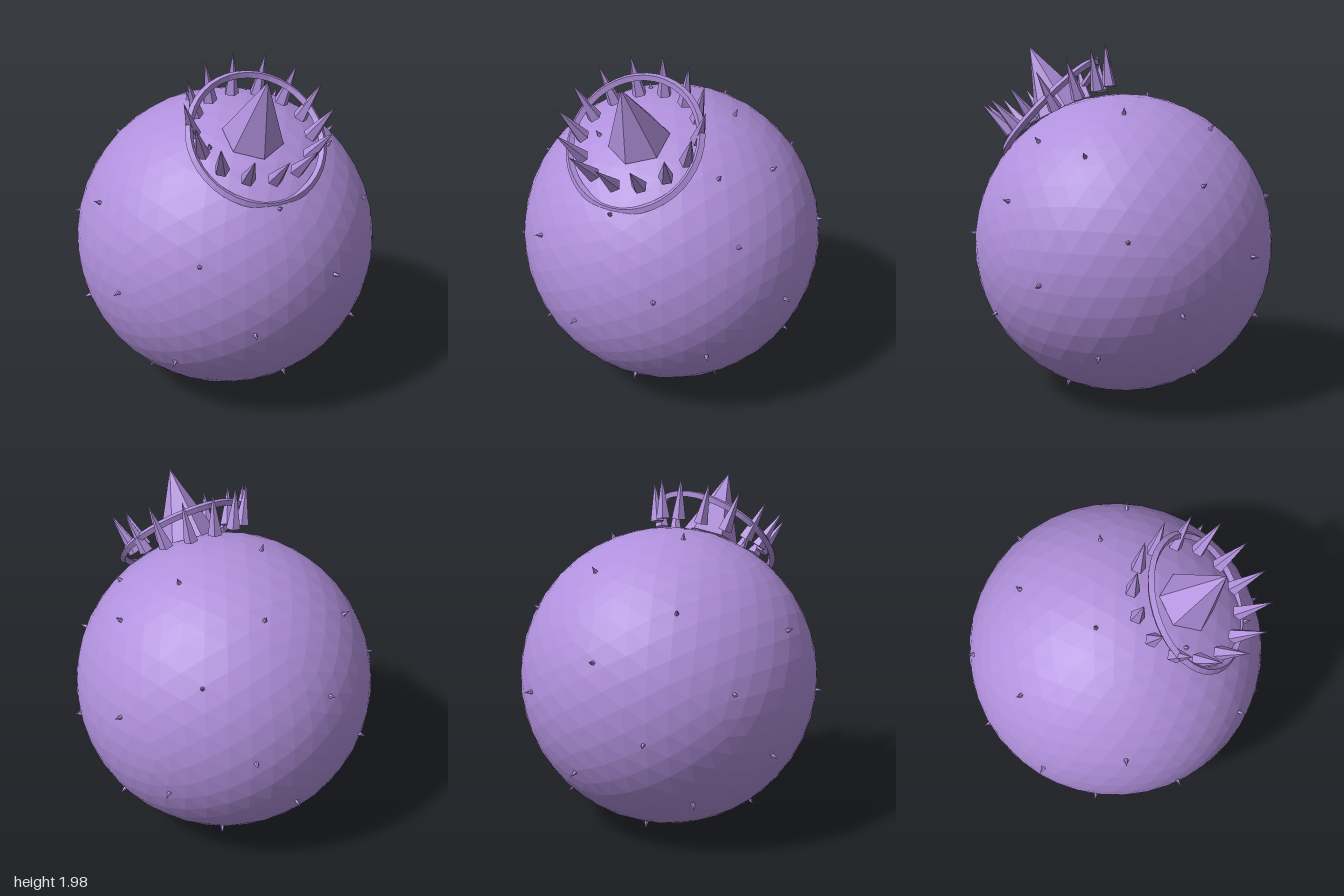
import * as THREE from 'three';

const UP = new THREE.Vector3(0, 1, 0);
const CENTER = new THREE.Vector3(-0.015, 0.855, -0.01);
const RADIUS = 0.845;
const GOLDEN = Math.PI * (3 - Math.sqrt(5));
const deg = THREE.MathUtils.degToRad;

// Faceted normals stored in the geometry
function facet(geometry) {
  const flat = geometry.index ? geometry.toNonIndexed() : geometry;
  flat.computeVertexNormals();
  return flat;
}

// Cone whose origin is the middle of its base
function spikeGeometry(radius, height, sides) {
  return facet(new THREE.ConeGeometry(radius, height, sides).translate(0, height / 2, 0));
}

export function createModel() {
  const model = new THREE.Group();
  const purple = new THREE.MeshStandardMaterial({ color: 0xb090dc });
  purple.name = 'purple';

  function add(name, geometry, parent = model) {
    const mesh = new THREE.Mesh(geometry, purple);
    mesh.name = name;
    parent.add(mesh);
    return mesh;
  }

  // Stand a spike on the ball along a direction from its centre
  function addSpike(name, geometry, dir, distance, parent) {
    const mesh = add(name, geometry, parent);
    mesh.position.copy(CENTER).addScaledVector(dir, distance);
    mesh.quaternion.setFromUnitVectors(UP, dir);
  }

  // Round body
  add('body', facet(new THREE.IcosahedronGeometry(RADIUS, 7))).position.copy(CENTER);

  // Tiny thorns spread over the body in a golden-angle spiral
  const thorns = new THREE.Group();
  thorns.name = 'thorns';
  model.add(thorns);
  const thornGeometry = spikeGeometry(0.017, 0.055, 5);
  const count = 34;
  const mirrored = [0, 1, 2, 4];
  for (let i = 0; i < count; i++) {
    const y = 1 - (2 * i + 1) / count;
    const r = Math.sqrt(1 - y * y);
    const a = ((i - 7) * GOLDEN + 0.01) * (mirrored.includes(i) ? -1 : 1);
    const dir = new THREE.Vector3(r * Math.sin(a), y, r * Math.cos(a));
    addSpike('thorn', thornGeometry, dir, 0.83, thorns);
  }

  // Crown of spikes tilted towards the front
  const crown = new THREE.Group();
  crown.name = 'crown';
  model.add(crown);
  const tilt = deg(26);
  const crownGeometry = spikeGeometry(0.041, 0.235, 5);
  for (let i = 0; i < 14; i++) {
    const dir = new THREE.Vector3().setFromSphericalCoords(1, deg(20.5), (i / 14) * Math.PI * 2);
    dir.applyAxisAngle(new THREE.Vector3(1, 0, 0), tilt);
    addSpike('crownSpike', crownGeometry, dir, 0.893, crown);
  }

  // Large horn in the middle of the crown
  const hornDir = new THREE.Vector3(0, Math.cos(deg(26.5)), Math.sin(deg(26.5)));
  addSpike('horn', spikeGeometry(0.165, 0.395, 6), hornDir, 0.836, crown);

  // Thin hoop, sunk into the body at the front
  const hoop = add('hoop', facet(new THREE.TorusGeometry(0.363, 0.022, 4, 40)), crown);
  hoop.position.set(-0.015, 1.61, 0.415);
  hoop.rotation.x = -deg(43);

  return model;
}
